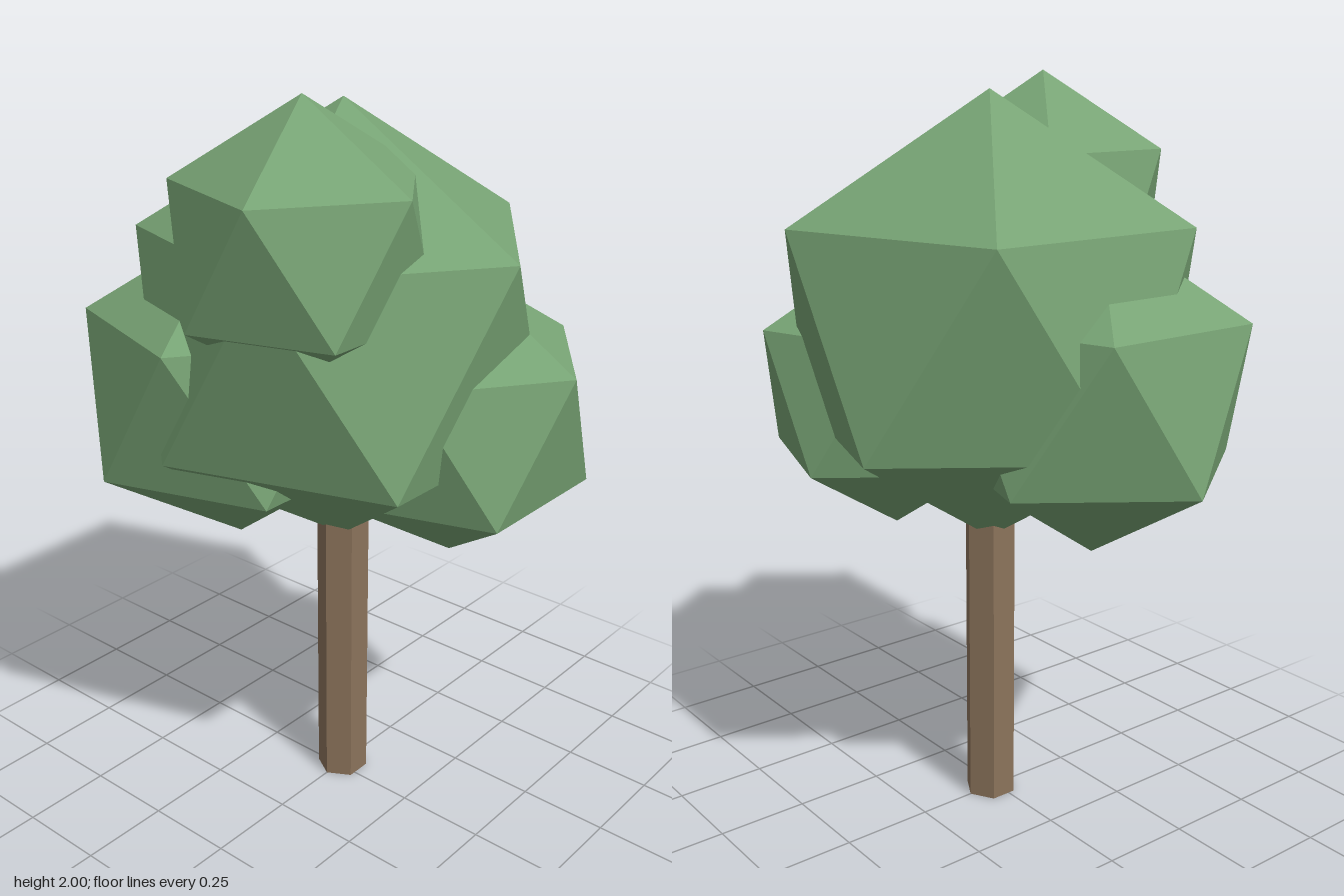
import * as THREE from 'three';

export function createModel() {
  const tree = new THREE.Group();
  tree.name = 'tree';

  const leafGreen = new THREE.MeshStandardMaterial({ color: 0x77a374 });
  leafGreen.name = 'leafGreen';
  leafGreen.flatShading = true;
  const barkBrown = new THREE.MeshStandardMaterial({ color: 0x8b735b });
  barkBrown.name = 'barkBrown';
  barkBrown.flatShading = true;

  // Six-sided trunk, its top buried in the crown
  const trunk = new THREE.Mesh(new THREE.CylinderGeometry(0.072, 0.072, 1, 6), barkBrown);
  trunk.name = 'trunk';
  trunk.position.set(0, 0.5, -0.018);
  tree.add(trunk);

  // Leaf clumps: icosahedra turned to stand on a corner, with another corner ring pointing to +x
  const tilt = -Math.atan(2 / (1 + Math.sqrt(5)));
  const clumps = [
    ['mainCrown', 0.594, 0, 1.365, -0.018],
    ['topClump', 0.358, 0.076, 1.643, 0.219],
    ['rightClump', 0.442, -0.24, 1.204, 0.139],
    ['leftClump', 0.397, 0.275, 1.163, -0.14],
  ];
  for (const [name, radius, x, y, z] of clumps) {
    const clump = new THREE.Mesh(new THREE.IcosahedronGeometry(radius, 0).rotateZ(tilt), leafGreen);
    clump.name = name;
    clump.position.set(x, y, z);
    tree.add(clump);
  }

  return tree;
}
